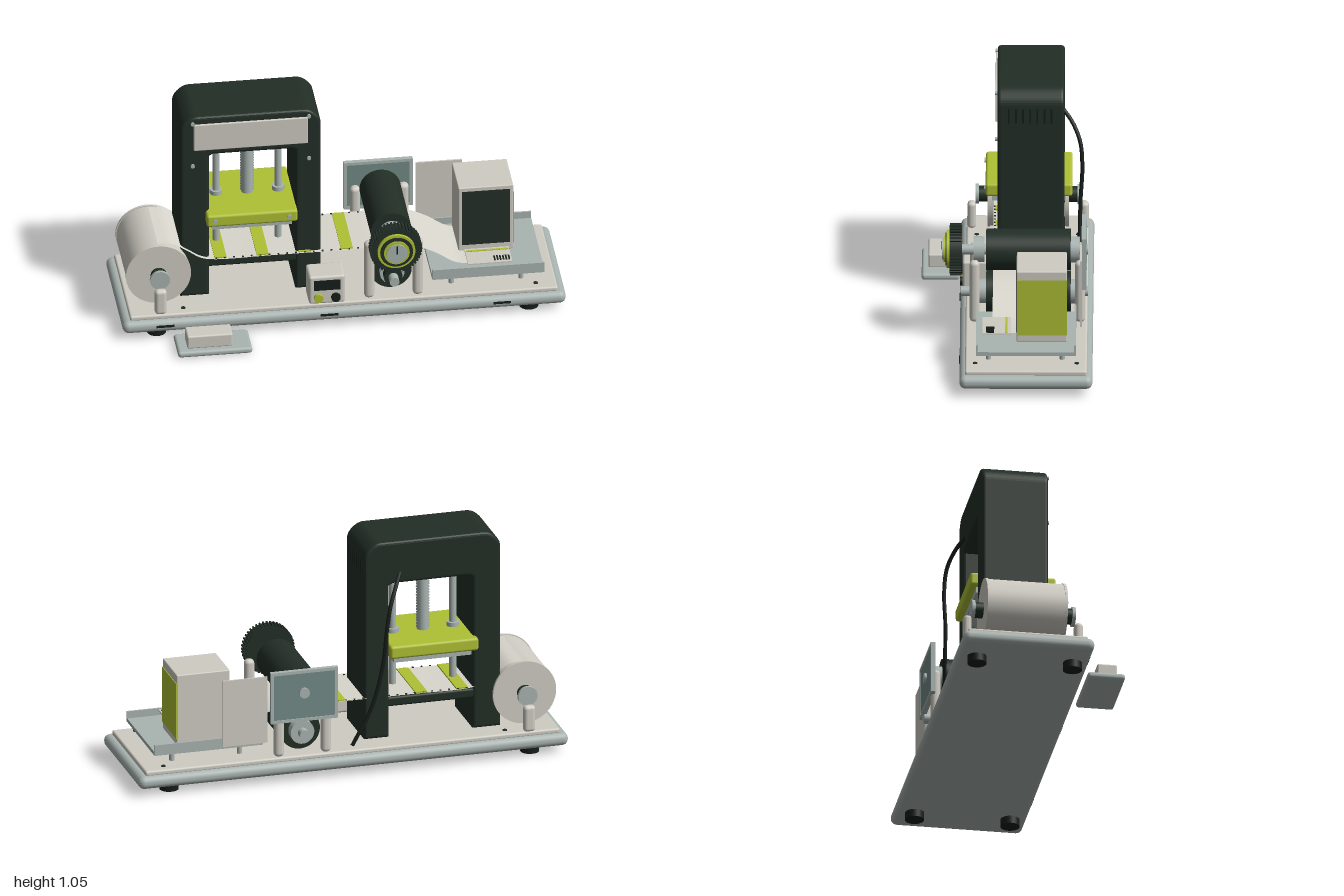
import * as THREE from 'three';
import { RoundedBoxGeometry } from 'three/addons/geometries/RoundedBoxGeometry.js';

const mat = (name, color, side = THREE.FrontSide) => {
  const m = new THREE.MeshStandardMaterial({ color, side });
  m.name = name;
  return m;
};

export function createModel() {
  const root = new THREE.Group();
  root.name = 'labelPress';
  const dark = mat('darkGreen', 0x222e26);
  const black = mat('nearBlack', 0x161d19);
  const lime = mat('lime', 0xafc034);
  const cream = mat('cream', 0xcfccc3);
  const steel = mat('steel', 0xa9b4b1);
  const teal = mat('teal', 0x728b86);
  const paper = mat('paper', 0xd9d6cd, THREE.DoubleSide);

  const add = (name, geo, m, x = 0, y = 0, z = 0) => {
    const mesh = new THREE.Mesh(geo, m);
    mesh.name = name;
    mesh.position.set(x, y, z);
    root.add(mesh);
    return mesh;
  };
  // Box given by its limits, rounded when r > 0
  const box = (name, m, x0, x1, y0, y1, z0, z1, r = 0) => add(name,
    r ? new RoundedBoxGeometry(x1 - x0, y1 - y0, z1 - z0, 3, r) : new THREE.BoxGeometry(x1 - x0, y1 - y0, z1 - z0),
    m, (x0 + x1) / 2, (y0 + y1) / 2, (z0 + z1) / 2);
  // Cylinder along y or along z
  const rod = (name, m, r, x, z, y0, y1) =>
    add(name, new THREE.CylinderGeometry(r, r, y1 - y0, 32), m, x, (y0 + y1) / 2, z);
  const axle = (name, m, r, x, y, z0, z1, sides = 40) => {
    const c = add(name, new THREE.CylinderGeometry(r, r, z1 - z0, sides), m, x, y, (z0 + z1) / 2);
    c.rotation.x = Math.PI / 2;
    return c;
  };

  // Base, deck and feet
  box('base', steel, -1, 1, 0.035, 0.095, -0.385, 0.21, 0.028);
  box('deck', cream, -0.965, 0.965, 0.09, 0.115, -0.36, 0.185, 0.009);
  for (const x of [-0.84, 0.84]) for (const z of [-0.3, 0.133]) rod('foot', black, 0.043, x, z, 0, 0.045);
  for (const x of [-0.72, 0.87]) for (const z of [-0.315, 0.14]) rod('deckScrew', dark, 0.01, x, z, 0.11, 0.119);
  for (const x of [-0.81, -0.07, 0.71]) box('baseSlot', black, x - 0.04, x + 0.04, 0.064, 0.074, 0.206, 0.213);

  // Foot pedal
  box('pedalBase', steel, -0.775, -0.44, 0.003, 0.033, 0.215, 0.385, 0.013);
  box('pedal', cream, -0.73, -0.525, 0.03, 0.095, 0.265, 0.355, 0.008);

  // Press frame: an arch with soft shoulders
  const b = 0.014, L = -0.72 + b, R = -0.085 - b, T = 1.05 - b, B = 0.115 + b, c = 0.065;
  const arch = new THREE.Shape();
  arch.moveTo(L, B);
  arch.lineTo(-0.59 - b, B);
  arch.lineTo(-0.59 - b, 0.835 + b);
  arch.lineTo(-0.575, 0.85 + b);
  arch.lineTo(-0.215, 0.85 + b);
  arch.lineTo(-0.2 + b, 0.835 + b);
  arch.lineTo(-0.2 + b, B);
  arch.lineTo(R, B);
  arch.lineTo(R, T - c);
  arch.quadraticCurveTo(R, T - c * 0.6, R - c * 0.35, T - c * 0.3);
  arch.quadraticCurveTo(R - c * 0.65, T, R - c, T);
  arch.lineTo(L + c, T);
  arch.quadraticCurveTo(L + c * 0.65, T, L + c * 0.35, T - c * 0.3);
  arch.quadraticCurveTo(L, T - c * 0.6, L, T - c);
  add('pressFrame', new THREE.ExtrudeGeometry(arch, {
    depth: 0.3 - 2 * b, bevelSize: b, bevelThickness: b, bevelSegments: 3, curveSegments: 6,
  }), dark, 0, 0, -0.255 + b);
  box('pressBed', dark, -0.6, -0.19, 0.26, 0.305, -0.25, 0.04, 0.01);
  box('headPlate', cream, -0.66, -0.145, 0.88, 1.015, 0.04, 0.054, 0.004);
  for (const x of [-0.665, -0.14]) for (const y of [0.8, 1.02]) axle('frameScrew', steel, 0.009, x, y, 0.04, 0.055, 12);
  for (let i = 0; i < 7; i++) {
    const z = -0.006 - i * 0.032;
    box('vent', black, -0.088, -0.0835, 0.895, 0.962, z - 0.004, z + 0.004);
  }

  // Guide rods, lead screw and moving platen
  for (const x of [-0.54, -0.26]) {
    rod('guideRod', steel, 0.016, x, -0.1, 0.3, 0.86);
    rod('rodCollar', steel, 0.028, x, -0.1, 0.55, 0.58);
  }
  const thread = [];
  for (let i = 0; i <= 46; i++) thread.push(new THREE.Vector2(i % 2 ? 0.031 : 0.022, 0.55 + i * 0.0068));
  add('leadScrew', new THREE.LatheGeometry(thread, 24), steel, -0.4, 0, -0.1);
  box('platen', lime, -0.607, -0.197, 0.5, 0.56, -0.29, 0.098, 0.012);
  box('platenFace', steel, -0.58, -0.22, 0.473, 0.505, -0.26, 0.07);
  for (const x of [-0.57, -0.235]) axle('platenScrew', steel, 0.011, x, 0.53, 0.09, 0.104, 12);

  // Supply reel on two posts, mirrored about its middle
  const rx = -0.825, ry = 0.27, mid = -0.09;
  axle('paperRoll', cream, 0.143, rx, ry, -0.262, 0.082, 64);
  for (const s of [-1, 1]) {
    const span = (name, m, r, a, d) => axle(name, m, r, rx, ry, Math.min(mid + s * a, mid + s * d), Math.max(mid + s * a, mid + s * d), 48);
    span('reelFlange', cream, 0.147, 0.17, 0.182);
    span('reelHub', dark, 0.036, 0.18, 0.22);
    span('reelCap', steel, 0.045, 0.22, 0.235);
    const pz = mid + s * 0.252;
    box('reelPost', cream, rx - 0.027, rx + 0.027, 0.11, 0.235, pz - 0.019, pz + 0.019, 0.017);
  }

  // Paper web: a strip swept along a side profile
  const path = new THREE.CatmullRomCurve3([
    [-0.825, 0.417], [-0.76, 0.408], [-0.69, 0.365], [-0.63, 0.325], [-0.57, 0.312], [-0.3, 0.312], [0, 0.312],
    [0.225, 0.314], [0.34, 0.305], [0.43, 0.265], [0.52, 0.208], [0.6, 0.196], [0.7, 0.196],
  ].map(([x, y]) => new THREE.Vector3(x, y, 0)));
  const web = new THREE.PlaneGeometry(1, 1, 80, 1);
  const wp = web.attributes.position;
  for (let i = 0; i < wp.count; i++) {
    const p = path.getPoint(wp.getX(i) + 0.5);
    wp.setXYZ(i, p.x, p.y, wp.getY(i) > 0 ? -0.255 : 0.063);
  }
  web.computeVertexNormals();
  add('paperWeb', web, paper);
  for (const x of [-0.54, -0.35, -0.16, 0.03]) box('printedStripe', lime, x - 0.027, x + 0.027, 0.31, 0.317, -0.25, 0.055);
  for (let x = -0.56; x < 0.12; x += 0.04)
    for (const z of [-0.248, 0.057]) box('feedHole', dark, x - 0.004, x + 0.004, 0.312, 0.3155, z - 0.004, z + 0.004);

  // Nip rollers with collars, posts and rear bearing plate
  const nx = 0.225, ny = 0.412, ly = 0.212;
  axle('upperRoller', dark, 0.0925, nx, ny, -0.285, 0.093, 56);
  axle('lowerRoller', dark, 0.0925, nx, ly, -0.285, 0.093, 56);
  axle('upperShaft', steel, 0.024, nx, ny, -0.362, 0.21);
  axle('lowerShaft', steel, 0.022, nx, ly, -0.362, 0.205);
  for (const [z0, z1] of [[0.1, 0.15], [-0.325, -0.285]]) axle('upperCollar', steel, 0.058, nx, ny, z0, z1);
  for (const [z0, z1] of [[0.09, 0.125], [-0.325, -0.28]]) axle('lowerCollar', steel, 0.055, nx, ly, z0, z1);
  axle('lowerKnob', dark, 0.042, nx, ly, 0.125, 0.16);
  for (const x of [nx - 0.107, nx + 0.112]) for (const z of [-0.327, 0.145])
    box('rollerPost', cream, x - 0.023, x + 0.023, 0.11, 0.402, z - 0.022, z + 0.022, 0.02);
  box('bearingPlate', teal, 0.08, 0.37, 0.285, 0.51, -0.352, -0.338);
  for (const x of [0.075, 0.373]) box('plateEdge', steel, x - 0.007, x + 0.007, 0.278, 0.52, -0.356, -0.334);
  for (const y of [0.284, 0.513]) box('plateEdge', steel, 0.068, 0.38, y - 0.007, y + 0.007, -0.356, -0.334);

  // Knurled handwheel with stacked rings
  axle('handwheel', dark, 0.109, nx, ny, 0.202, 0.257, 64);
  for (let i = 0; i < 44; i++) {
    const a = (i / 44) * Math.PI * 2;
    box('knurl', dark, -0.007, 0.007, -0.004, 0.004, 0.204, 0.255)
      .position.set(nx + Math.cos(a) * 0.111, ny + Math.sin(a) * 0.111, 0.2295);
    root.children[root.children.length - 1].rotation.z = a;
  }
  axle('wheelRing', lime, 0.085, nx, ny, 0.25, 0.271, 56);
  axle('wheelFace', dark, 0.074, nx, ny, 0.26, 0.275, 56);
  axle('capRing', lime, 0.058, nx, ny, 0.27, 0.283);
  axle('wheelCap', steel, 0.047, nx, ny, 0.275, 0.29);
  box('wheelMark', black, nx - 0.003, nx + 0.003, ny, ny + 0.04, 0.288, 0.292);

  // Control box
  box('controlBox', cream, -0.16, 0.003, 0.122, 0.265, 0.078, 0.2, 0.012);
  box('display', black, -0.138, -0.02, 0.195, 0.245, 0.197, 0.204);
  axle('startButton', lime, 0.021, -0.118, 0.156, 0.195, 0.212, 24);
  axle('stopButton', black, 0.021, -0.04, 0.156, 0.195, 0.212, 24);

  // Power cable
  const cord = new THREE.CatmullRomCurve3([
    [-0.25, 0.9, -0.25], [-0.22, 0.85, -0.29], [-0.185, 0.77, -0.325], [-0.165, 0.66, -0.335],
    [-0.15, 0.5, -0.327], [-0.1, 0.3, -0.322], [-0.01, 0.12, -0.315],
  ].map((p) => new THREE.Vector3(...p)));
  add('cable', new THREE.TubeGeometry(cord, 48, 0.009, 10), black);

  // Delivery tray on legs, with rear guide
  box('tray', steel, 0.405, 0.91, 0.167, 0.184, -0.31, 0.135);
  for (const z of [-0.307, 0.132]) box('trayLip', steel, 0.405, 0.91, 0.167, 0.217, z - 0.004, z + 0.004);
  for (const x of [0.497, 0.812]) for (const z of [-0.25, 0.08]) rod('trayLeg', steel, 0.012, x, z, 0.11, 0.17);
  box('rearGuide', cream, 0.392, 0.6, 0.185, 0.5, -0.336, -0.328);

  // Finished carton
  box('carton', cream, 0.547, 0.795, 0.19, 0.525, -0.27, -0.045, 0.005);
  box('cartonFront', dark, 0.562, 0.78, 0.228, 0.505, -0.05, -0.042);
  box('cartonSide', lime, 0.79, 0.798, 0.222, 0.485, -0.27, -0.046);

  // Printed label lying on the tray
  box('label', cream, 0.57, 0.77, 0.214, 0.22, -0.02, 0.108);
  box('labelLine', lime, 0.575, 0.765, 0.219, 0.223, -0.004, 0.006);
  for (let i = 0; i < 6; i++) box('labelBar', black, 0.69 + i * 0.013, 0.697 + i * 0.013, 0.219, 0.223, 0.055, 0.092);

  return root;
}
